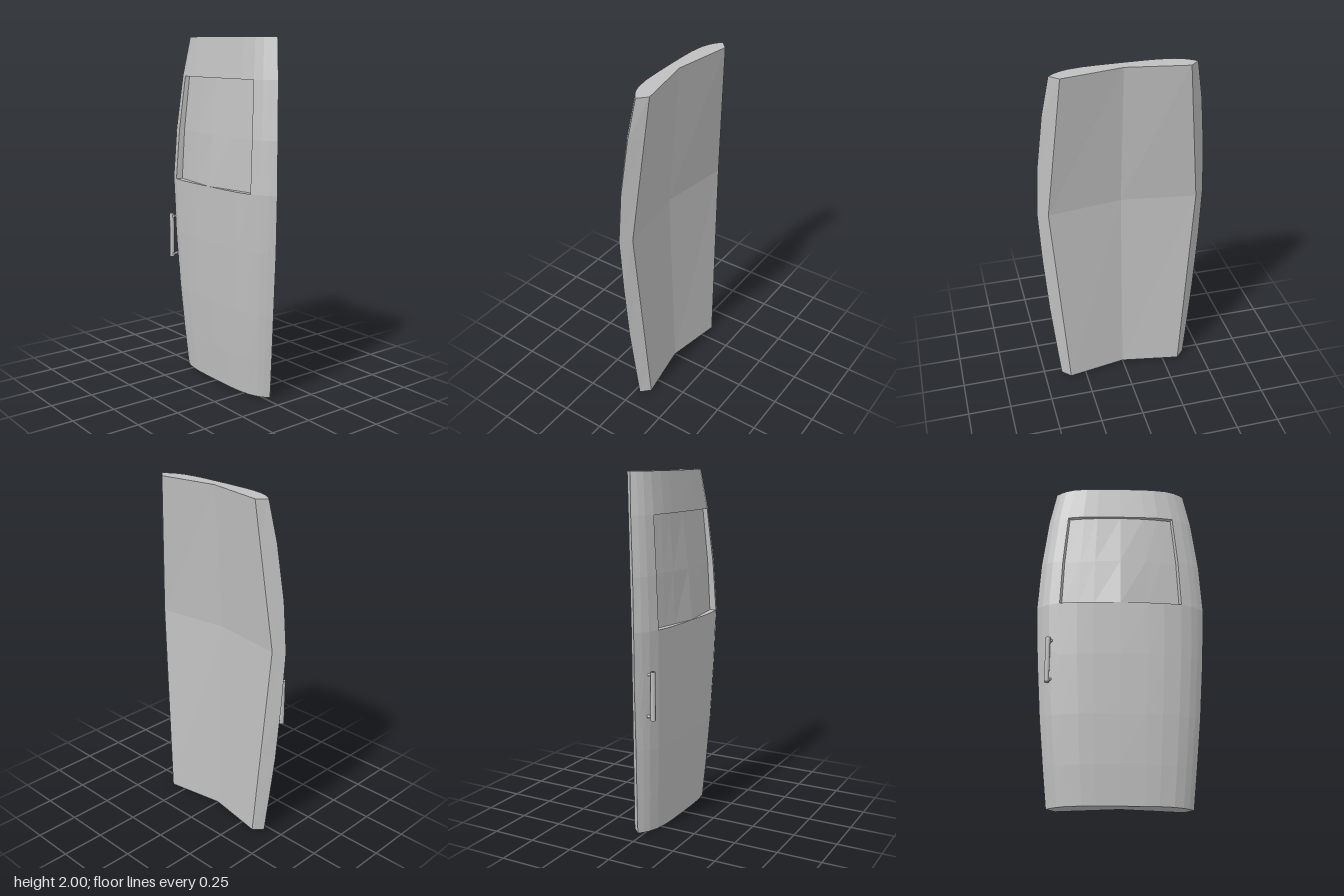
import * as THREE from 'three';

const metal = new THREE.MeshStandardMaterial({ color: 0xc0c0c0 });
metal.name = 'door grey';

// Piecewise linear lookup in a list of [position, value] pairs
function lerpTable(table, t) {
  for (let i = 1; i < table.length; i++) {
    const [a, va] = table[i - 1], [b, vb] = table[i];
    if (t <= b || i === table.length - 1) return va + (vb - va) * (t - a) / (b - a);
  }
}

// Door profile, by height
const HALF_WIDTH = [[0, 0.395], [0.22, 0.418], [0.5, 0.445], [0.85, 0.47], [1.17, 0.484], [1.46, 0.469], [1.775, 0.435], [2, 0.395]];
const CENTRE_Z = [[0, 0.05], [0.22, 0.067], [0.5, 0.083], [0.85, 0.096], [1.17, 0.103], [1.46, 0.084], [1.775, 0.055], [2, 0.02]];
const EDGE_Z = [[0, -0.032], [0.5, -0.008], [1.17, 0.008], [1.46, -0.004], [1.775, -0.032], [2, -0.058]];
const BACK_WIDTH = [[0, 0.345], [1.17, 0.428], [2, 0.345]];
const BACK_CORNER_Z = [[0, -0.082], [1.17, -0.04], [2, -0.105]];
const BACK_CENTRE_Z = [[0, -0.022], [1.17, 0.02], [2, -0.045]];
// Bulge across the door: 1 at the middle, 0 at the edge
const BULGE = [[0, 1], [0.33, 0.985], [0.52, 0.945], [0.725, 0.79], [0.85, 0.55], [0.93, 0.3], [1, 0]];

const WIN_U = 0.725, WIN_BOTTOM = 1.17, WIN_TOP = 1.775;
const half = [0.33, 0.52, WIN_U, 0.85, 0.93, 1];
const US = [...half.map((u) => -u).reverse(), 0, ...half];
const YS = HALF_WIDTH.map((p) => p[0]);
const WIN_US = US.filter((u) => Math.abs(u) <= WIN_U);
const WIN_YS = YS.filter((y) => y >= WIN_BOTTOM && y <= WIN_TOP);

function frontPoint(u, y) {
  const edge = lerpTable(EDGE_Z, y);
  const z = edge + (lerpTable(CENTRE_Z, y) - edge) * lerpTable(BULGE, Math.abs(u));
  return [u * lerpTable(HALF_WIDTH, y), y, z];
}

function backPoint(u, y) {
  const centre = lerpTable(BACK_CENTRE_Z, y);
  return [u * lerpTable(BACK_WIDTH, y), y, centre + (lerpTable(BACK_CORNER_Z, y) - centre) * Math.abs(u)];
}

// Recessed panel: deep at the sides, meeting the ledge at bottom centre
function floorPoint(u, y) {
  const side = Math.abs(u) / WIN_U;
  const rise = (y - WIN_BOTTOM) / (WIN_TOP - WIN_BOTTOM);
  const x = u * 0.97 * lerpTable(HALF_WIDTH, y);
  const middle = lerpTable(CENTRE_Z, y) - 0.001 - 0.014 * rise;
  const edge = frontPoint(WIN_U, y)[2] - 0.035 + 0.012 * rise;
  const curve = side + (side * side - side) * rise;
  return [x, y, middle + (edge - middle) * curve];
}

// Faceted sheet through rows of points, with optional skipped cells
function sheet(name, rows, skip = () => false) {
  const pos = [];
  for (let j = 0; j + 1 < rows.length; j++) {
    for (let i = 0; i + 1 < rows[j].length; i++) {
      if (skip(i, j)) continue;
      const a = rows[j][i], b = rows[j][i + 1], c = rows[j + 1][i + 1], d = rows[j + 1][i];
      pos.push(...a, ...b, ...c, ...a, ...c, ...d);
    }
  }
  const geo = new THREE.BufferGeometry();
  geo.setAttribute('position', new THREE.Float32BufferAttribute(pos, 3));
  geo.computeVertexNormals();
  const mesh = new THREE.Mesh(geo, metal);
  mesh.name = name;
  return mesh;
}

// Thin plate that follows the curved front
function plate(name, x0, x1, y0, y1, lift) {
  const rows = [];
  for (let j = 0; j <= 4; j++) {
    const y = y0 + (y1 - y0) * j / 4, row = [];
    for (let i = 0; i <= 6; i++) {
      const p = frontPoint((x0 + (x1 - x0) * i / 6) / lerpTable(HALF_WIDTH, y), y);
      row.push([p[0], p[1], p[2] + lift]);
    }
    rows.push(row);
  }
  return sheet(name, rows);
}

export function createModel() {
  const model = new THREE.Group();
  model.name = 'door';
  const row = (point, us, y) => us.map((u) => point(u, y));

  // Body shell
  model.add(
    sheet('frontPanel', YS.map((y) => row(frontPoint, US, y)), (i, j) =>
      US[i] >= -WIN_U && US[i + 1] <= WIN_U && YS[j] >= WIN_BOTTOM && YS[j + 1] <= WIN_TOP),
    sheet('backPanel', [0, 1.17, 2].map((y) => row(backPoint, [1, 0, -1], y))),
    sheet('leftEdge', YS.map((y) => [frontPoint(1, y), backPoint(1, y)])),
    sheet('rightEdge', YS.map((y) => [backPoint(-1, y), frontPoint(-1, y)])),
    sheet('bottomEdge', [row(backPoint, US, 0), row(frontPoint, US, 0)]),
    sheet('topEdge', [row(frontPoint, US, 2), row(backPoint, US, 2)])
  );

  // Window recess
  const recess = new THREE.Group();
  recess.name = 'windowRecess';
  recess.add(
    sheet('windowPanel', WIN_YS.map((y) => row(floorPoint, WIN_US, y))),
    sheet('recessLeftWall', WIN_YS.map((y) => [floorPoint(WIN_U, y), frontPoint(WIN_U, y)])),
    sheet('recessRightWall', WIN_YS.map((y) => [frontPoint(-WIN_U, y), floorPoint(-WIN_U, y)])),
    sheet('recessLedge', [row(frontPoint, WIN_US, WIN_BOTTOM), row(floorPoint, WIN_US, WIN_BOTTOM)]),
    sheet('recessTop', [row(floorPoint, WIN_US, WIN_TOP), row(frontPoint, WIN_US, WIN_TOP)])
  );
  model.add(recess);

  // Flush plates
  model.add(
    plate('upperPlate', -0.08, 0.08, 1.03, 1.1, 0.002),
    plate('lowerPlate', -0.2, 0.2, 0.5, 0.55, 0.002),
    plate('handlePlate', -0.452, -0.35, 0.635, 0.95, 0.002)
  );

  // Pull handle: upright bar on two short pegs
  const handle = new THREE.Group();
  handle.name = 'handle';
  const bar = new THREE.Mesh(new THREE.CylinderGeometry(0.014, 0.014, 0.27, 10), metal);
  bar.name = 'handleBar';
  bar.position.set(-0.409, 0.817, 0.08);
  handle.add(bar);
  for (const y of [0.7, 0.934]) {
    const peg = new THREE.Mesh(new THREE.CylinderGeometry(0.008, 0.008, 0.045, 8), metal);
    peg.name = 'handlePeg';
    peg.rotation.set(Math.PI / 2, 0, -0.5);
    peg.position.set(-0.4, y, 0.062);
    handle.add(peg);
  }
  model.add(handle);
  return model;
}
